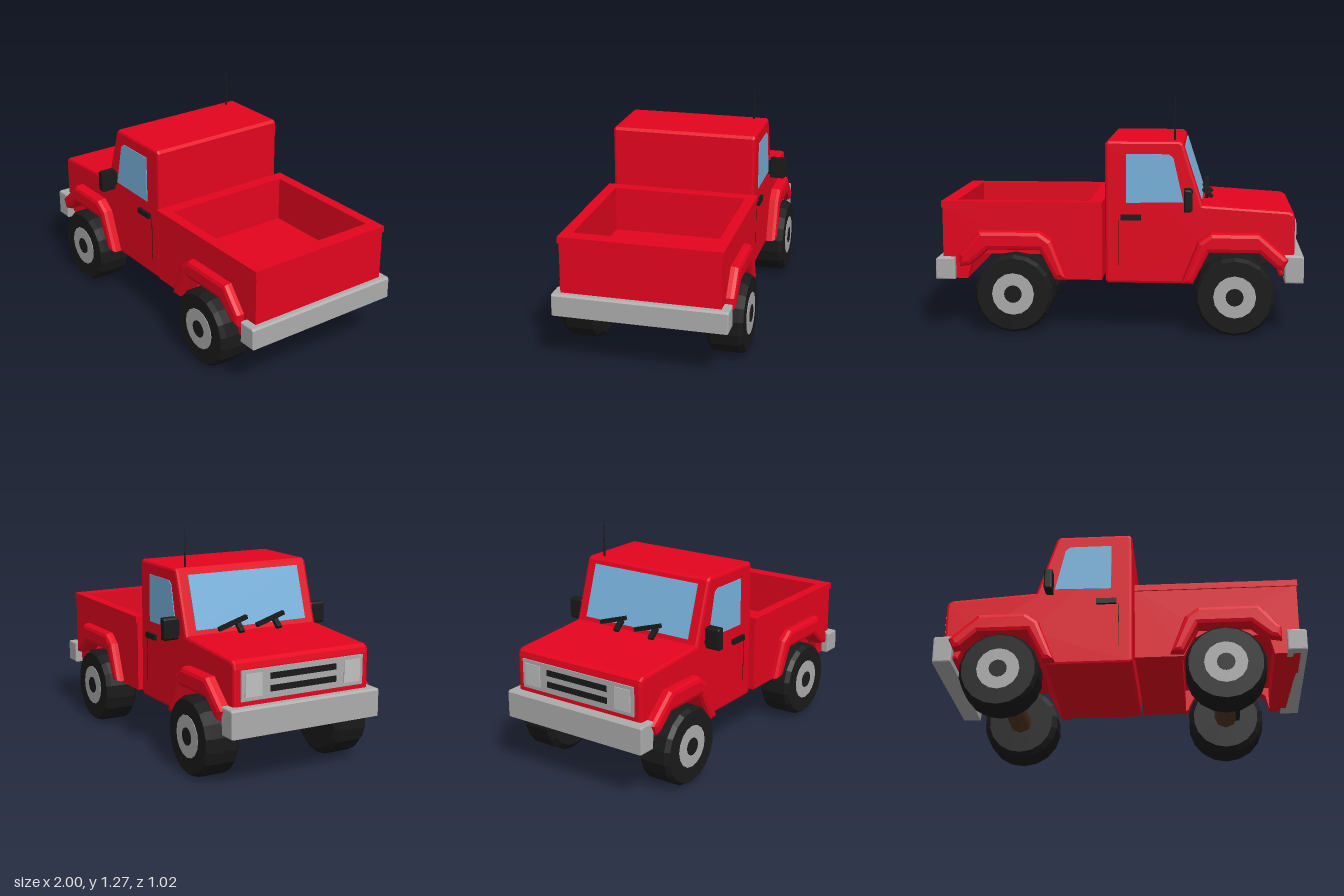
import * as THREE from 'three';

const paint = (name, color) => {
  const m = new THREE.MeshStandardMaterial({ color });
  m.name = name;
  return m;
};

export function createModel() {
  const red = paint('red paint', 0xe4041e);
  const black = paint('black rubber', 0x1a1a1a);
  const silver = paint('silver', 0xacacac);
  const lamp = paint('headlight grey', 0xc0c0c0);
  const blue = paint('window blue', 0x78b2dc);
  const brown = paint('axle brown', 0x4d3522);

  const truck = new THREE.Group();
  truck.name = 'pickupTruck';

  const add = (name, geo, mat, x = 0, y = 0, z = 0) => {
    const mesh = new THREE.Mesh(geo, mat);
    mesh.name = name;
    mesh.position.set(x, y, z);
    truck.add(mesh);
    return mesh;
  };
  // box given by its limits on each axis
  const block = (name, mat, x0, x1, y0, y1, z0, z1) =>
    add(name, new THREE.BoxGeometry(x1 - x0, y1 - y0, z1 - z0), mat,
      (x0 + x1) / 2, (y0 + y1) / 2, (z0 + z1) / 2);
  const outline = (pts) => new THREE.Shape(pts.map(([x, y]) => new THREE.Vector2(x, y)));
  // side profile extruded from z0 to z1, with edges bevelled inward
  const slab = (name, mat, pts, z0, z1, bevel = 0) => {
    const geo = new THREE.ExtrudeGeometry(outline(pts), {
      depth: z1 - z0 - 2 * bevel, bevelEnabled: bevel > 0, bevelSize: bevel,
      bevelThickness: bevel, bevelOffset: -bevel, bevelSegments: 2,
    });
    return add(name, geo, mat, 0, 0, z0 + bevel);
  };
  const flat = (geo) => {
    const g = geo.toNonIndexed();
    g.computeVertexNormals();
    return g;
  };

  // cab and hood, with the front wheel arch cut out
  slab('cab', red, [
    [-0.95, 0.32], [-0.87, 0.32], [-0.85, 0.37], [-0.76, 0.45], [-0.48, 0.45], [-0.39, 0.27],
    [0.06, 0.27], [0.075, 0.285], [0.075, 1.035], [0.06, 1.05], [-0.33, 1.05], [-0.348, 1.035],
    [-0.455, 0.705], [-0.92, 0.675], [-0.945, 0.66], [-0.95, 0.63],
  ], -0.41, 0.41, 0.015);

  // windscreen and wipers
  const lean = -Math.atan2(0.107, 0.33);
  add('windscreen', new THREE.BoxGeometry(0.008, 0.3, 0.69), blue, -0.403, 0.872, 0).rotation.z = lean;
  for (const z of [-0.135, 0.1]) {
    const blade = add('wiperBlade', new THREE.BoxGeometry(0.022, 0.022, 0.18), black, -0.475, 0.755, z);
    blade.rotation.x = -0.3;
    const arm = add('wiperArm', new THREE.BoxGeometry(0.07, 0.02, 0.03), black, -0.48, 0.73, z + 0.04);
    arm.rotation.z = 0.7;
  }

  // bed: floor, underside blocks and end walls
  block('bedFloor', red, 0.15, 0.9, 0.42, 0.465, -0.38, 0.38);
  block('bedFrontUnderside', red, 0.16, 0.34, 0.29, 0.43, -0.375, 0.375);
  block('bedRearUnderside', red, 0.83, 0.89, 0.29, 0.43, -0.375, 0.375);
  block('bedFrontWall', red, 0.09, 0.16, 0.29, 0.69, -0.375, 0.375);
  block('tailgate', red, 0.89, 0.965, 0.29, 0.69, -0.375, 0.375);

  // rim around the top of the bed
  const rim = outline([[0.09, -0.435], [0.97, -0.435], [0.97, 0.435], [0.09, 0.435]]);
  rim.holes.push(new THREE.Path([[0.16, -0.375], [0.16, 0.375], [0.89, 0.375], [0.89, -0.375]]
    .map(([x, y]) => new THREE.Vector2(x, y))));
  const rimGeo = new THREE.ExtrudeGeometry(rim, { depth: 0.035, bevelEnabled: false });
  add('bedRim', rimGeo.rotateX(-Math.PI / 2), red, 0, 0.683, 0);

  // slab or block on one side of the truck
  const sideSlab = (name, mat, pts, inner, outer, s, bevel) =>
    s > 0 ? slab(name, mat, pts, inner, outer, bevel) : slab(name, mat, pts, -outer, -inner, bevel);
  const sideBlock = (name, mat, x0, x1, y0, y1, inner, outer, s) =>
    block(name, mat, x0, x1, y0, y1, Math.min(s * inner, s * outer), Math.max(s * inner, s * outer));

  for (const s of [1, -1]) {
    sideSlab('bedSide', red, [
      [0.09, 0.29], [0.35, 0.29], [0.43, 0.455], [0.71, 0.455], [0.81, 0.37], [0.83, 0.29],
      [0.965, 0.29], [0.965, 0.69], [0.09, 0.69],
    ], 0.375, 0.427, s);

    // flared wheel arches
    sideSlab('frontFender', red, [
      [-0.92, 0.42], [-0.89, 0.36], [-0.85, 0.37], [-0.76, 0.45], [-0.49, 0.45], [-0.405, 0.28],
      [-0.34, 0.28], [-0.43, 0.51], [-0.5, 0.56], [-0.76, 0.56],
    ], 0.36, 0.47, s, 0.025);
    sideSlab('rearFender', red, [
      [0.28, 0.3], [0.35, 0.3], [0.43, 0.455], [0.71, 0.455], [0.81, 0.37], [0.87, 0.36],
      [0.87, 0.43], [0.76, 0.56], [0.43, 0.56], [0.36, 0.51],
    ], 0.38, 0.475, s, 0.025);

    // door details
    sideSlab('sideWindow', blue, [[-0.35, 0.72], [-0.04, 0.715], [-0.04, 0.98], [-0.27, 0.98], [-0.295, 0.96]],
      0.407, 0.414, s);
    sideBlock('doorSeam', black, -0.002, 0.002, 0.37, 0.62, 0.407, 0.411, s);
    sideBlock('doorHandle', black, -0.12, -0.01, 0.62, 0.65, 0.4, 0.427, s);
    sideSlab('mirror', black, [[-0.4, 0.69], [-0.39, 0.68], [-0.355, 0.68], [-0.355, 0.8], [-0.39, 0.8], [-0.4, 0.79]],
      0.42, 0.51, s, 0.008);
    sideBlock('mirrorArm', black, -0.385, -0.36, 0.7, 0.78, 0.39, 0.43, s);

    // headlight
    sideBlock('headlight', lamp, -0.962, -0.955, 0.485, 0.605, 0.25, 0.35, s);
  }

  // grille with dark slats
  block('grillePanel', silver, -0.957, -0.949, 0.465, 0.625, -0.37, 0.37);
  for (const y of [0.515, 0.58])
    block('grilleSlat', black, -0.962, -0.956, y - 0.016, y + 0.016, -0.2, 0.2);

  // bumpers wrapping the corners
  slab('frontBumper', silver, [[-1, 0.29], [-0.9, 0.29], [-0.89, 0.44], [-0.99, 0.44], [-1, 0.43]], -0.45, 0.45, 0.008);
  slab('rearBumper', silver, [[0.895, 0.29], [1, 0.29], [1, 0.4], [0.99, 0.41], [0.895, 0.41]], -0.47, 0.47, 0.008);

  // wheels and axles
  const tyreGeo = flat(new THREE.LatheGeometry([
    [0, -0.1], [0.185, -0.1], [0.215, -0.075], [0.215, 0.075], [0.198, 0.1], [0, 0.1],
  ].map(([r, h]) => new THREE.Vector2(r, h)), 18)).rotateX(Math.PI / 2);
  const disc = (r, h) => new THREE.CylinderGeometry(r, r, h, 16).rotateX(Math.PI / 2);
  for (const x of [-0.63, 0.57]) {
    for (const s of [1, -1]) {
      const tyre = add('tyre', tyreGeo, black, x, 0.218, s * 0.398);
      tyre.rotation.y = s > 0 ? 0 : Math.PI;
      add('wheelRim', disc(0.115, 0.008), silver, x, 0.22, s * 0.497);
      add('wheelHub', disc(0.048, 0.008), black, x, 0.22, s * 0.5);
    }
    add('axle', new THREE.CylinderGeometry(0.065, 0.065, 0.66, 8).rotateX(Math.PI / 2), brown, x, 0.215, 0);
  }
  block('rearCrossmember', black, 0.61, 0.65, 0.19, 0.42, -0.31, 0.31);

  // tapered aerial on the roof edge
  add('aerial', new THREE.CylinderGeometry(0.001, 0.006, 0.23, 6), black, -0.3, 1.16, -0.33);

  return truck;
}
